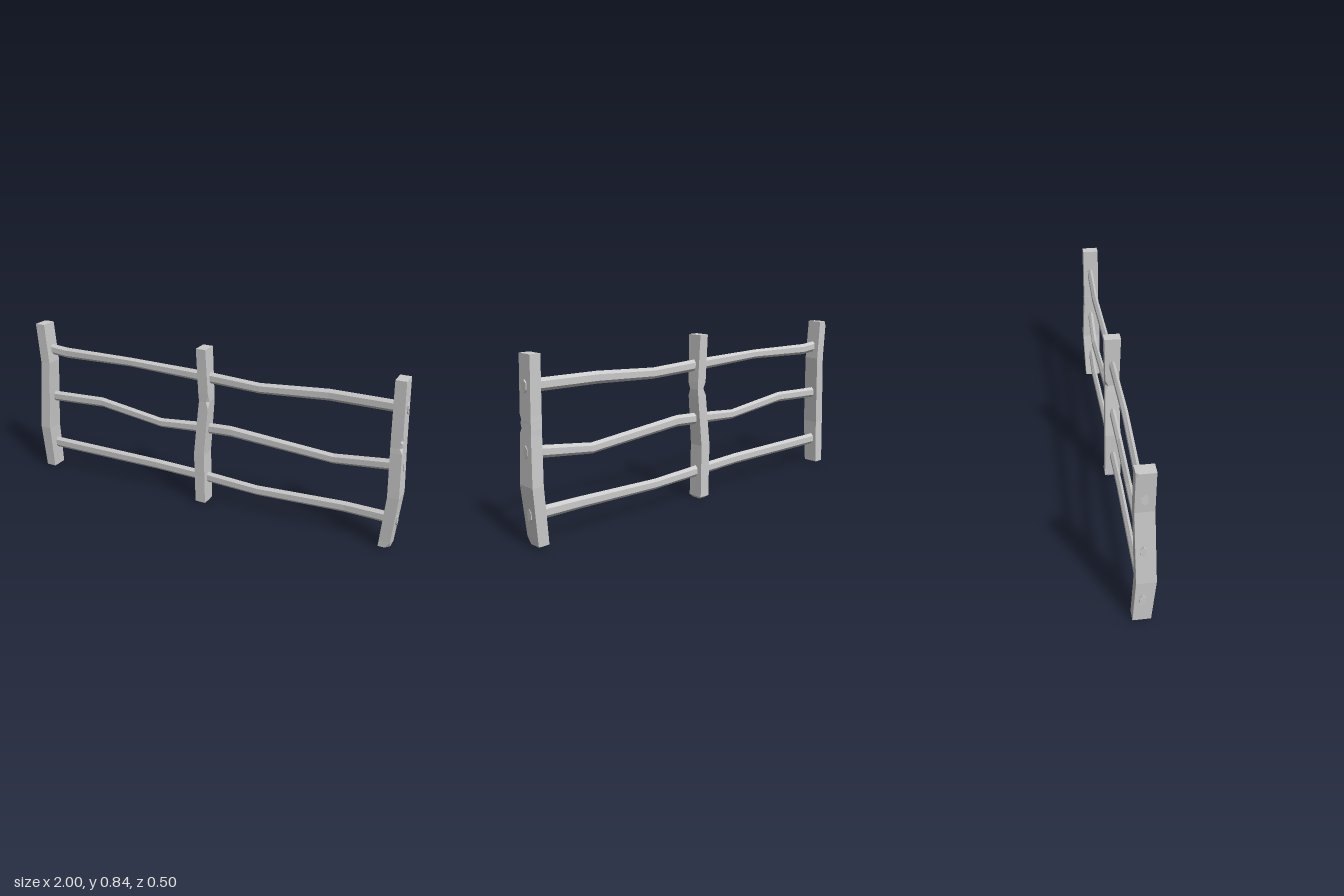
import * as THREE from 'three';

const ANGLE = -0.2045; // the fence runs diagonally, right end forward
const SLOPE = 0.2075;
const grey = new THREE.MeshStandardMaterial({ color: 0xcccccc, flatShading: true });

// Skin a list of equal-length rings (counter-clockwise about the path) and cap both ends.
function loft(name, rings) {
  const n = rings[0].length, pos = [];
  const tri = (...pts) => pts.forEach((p) => pos.push(p.x, p.y, p.z));
  for (let i = 0; i < rings.length - 1; i++) {
    for (let j = 0; j < n; j++) {
      const k = (j + 1) % n;
      tri(rings[i][j], rings[i][k], rings[i + 1][k]);
      tri(rings[i][j], rings[i + 1][k], rings[i + 1][j]);
    }
  }
  const first = rings[0], last = rings[rings.length - 1];
  for (let j = 1; j < n - 1; j++) {
    tri(first[0], first[j + 1], first[j]);
    tri(last[0], last[j], last[j + 1]);
  }
  const geo = new THREE.BufferGeometry();
  geo.setAttribute('position', new THREE.Float32BufferAttribute(pos, 3));
  geo.computeVertexNormals();
  const mesh = new THREE.Mesh(geo, grey);
  mesh.name = name;
  return mesh;
}

// Post section: turned rectangle with a nick on the front-right (c1) and back-left (c2) corners.
function postRing([y, x, z, w, d, c1 = 0.001, c2 = 0.001]) {
  const a = w / 2, b = d / 2;
  return [[a, b - c1], [a, -b], [-a + c2, -b], [-a, -b + c2], [-a, b], [a - c1, b]].map(([u, v]) =>
    new THREE.Vector3(u, 0, v)
      .applyAxisAngle(new THREE.Vector3(0, 1, 0), ANGLE)
      .add(new THREE.Vector3(x, y, z)));
}

// Rail section: upright hexagon, turned square to the run of the fence.
function railRing([x, y, dz = 0, h = 0.029]) {
  return Array.from({ length: 6 }, (_, i) => {
    const a = (i * Math.PI) / 3, side = Math.sin(a) * 0.0155;
    return new THREE.Vector3(
      x - 0.2 * side, y + Math.cos(a) * h, x * SLOPE - 0.006 + dz + 0.98 * side);
  });
}

// y, centre x, centre z, width, depth, corner nicks
const posts = {
  leftEndPost: [
    [0.012, -0.954, -0.203, 0.054, 0.082],
    [0.25, -0.961, -0.191, 0.06, 0.088],
    [0.63, -0.936, -0.198, 0.055, 0.084],
    [0.815, -0.95, -0.202, 0.055, 0.082],
    [0.84, -0.952, -0.202, 0.055, 0.082, 0.001, 0.012],
  ],
  middlePost: [
    [0, -0.011, -0.007, 0.04, 0.05],
    [0.012, -0.011, -0.007, 0.056, 0.082],
    [0.28, -0.019, -0.009, 0.058, 0.078],
    [0.535, 0.002, -0.005, 0.054, 0.07],
    [0.57, 0.005, -0.004, 0.052, 0.068, 0.014, 0.014],
    [0.605, 0.003, -0.004, 0.054, 0.07],
    [0.84, -0.008, -0.006, 0.052, 0.08],
  ],
  rightEndPost: [
    [0.012, 0.938, 0.192, 0.054, 0.082, 0.022],
    [0.045, 0.941, 0.192, 0.055, 0.083],
    [0.28, 0.961, 0.195, 0.056, 0.098],
    [0.5, 0.952, 0.195, 0.055, 0.085],
    [0.525, 0.951, 0.194, 0.055, 0.084, 0.013],
    [0.55, 0.95, 0.194, 0.055, 0.083, 0.004],
    [0.56, 0.95, 0.194, 0.055, 0.083, 0.012],
    [0.585, 0.949, 0.194, 0.055, 0.082],
    [0.84, 0.942, 0.192, 0.052, 0.082],
  ],
};

// x, y, sideways drift, half height
const rails = {
  topRail: [
    [-0.972, 0.702], [-0.82, 0.69, -0.003], [-0.42, 0.701, 0.004, 0.024], [0, 0.69],
    [0.285, 0.68, 0.003, 0.027], [0.62, 0.702, -0.01], [0.978, 0.706],
  ],
  middleRail: [
    [-0.981, 0.425], [-0.61, 0.443, -0.004, 0.027], [-0.25, 0.399, 0.006, 0.025], [0, 0.418],
    [0.14, 0.426, 0.002], [0.66, 0.388, -0.01, 0.026], [0.986, 0.428],
  ],
  bottomRail: [
    [-0.991, 0.147, 0, 0.031], [-0.28, 0.152, 0.003], [0, 0.145],
    [0.285, 0.134, 0.003, 0.027], [0.73, 0.15, -0.008], [0.982, 0.15, 0, 0.031],
  ],
};

export function createModel() {
  const fence = new THREE.Group();
  fence.name = 'fence';
  for (const [name, rows] of Object.entries(posts)) fence.add(loft(name, rows.map(postRing)));
  for (const [name, rows] of Object.entries(rails)) fence.add(loft(name, rows.map(railRing)));
  return fence;
}
